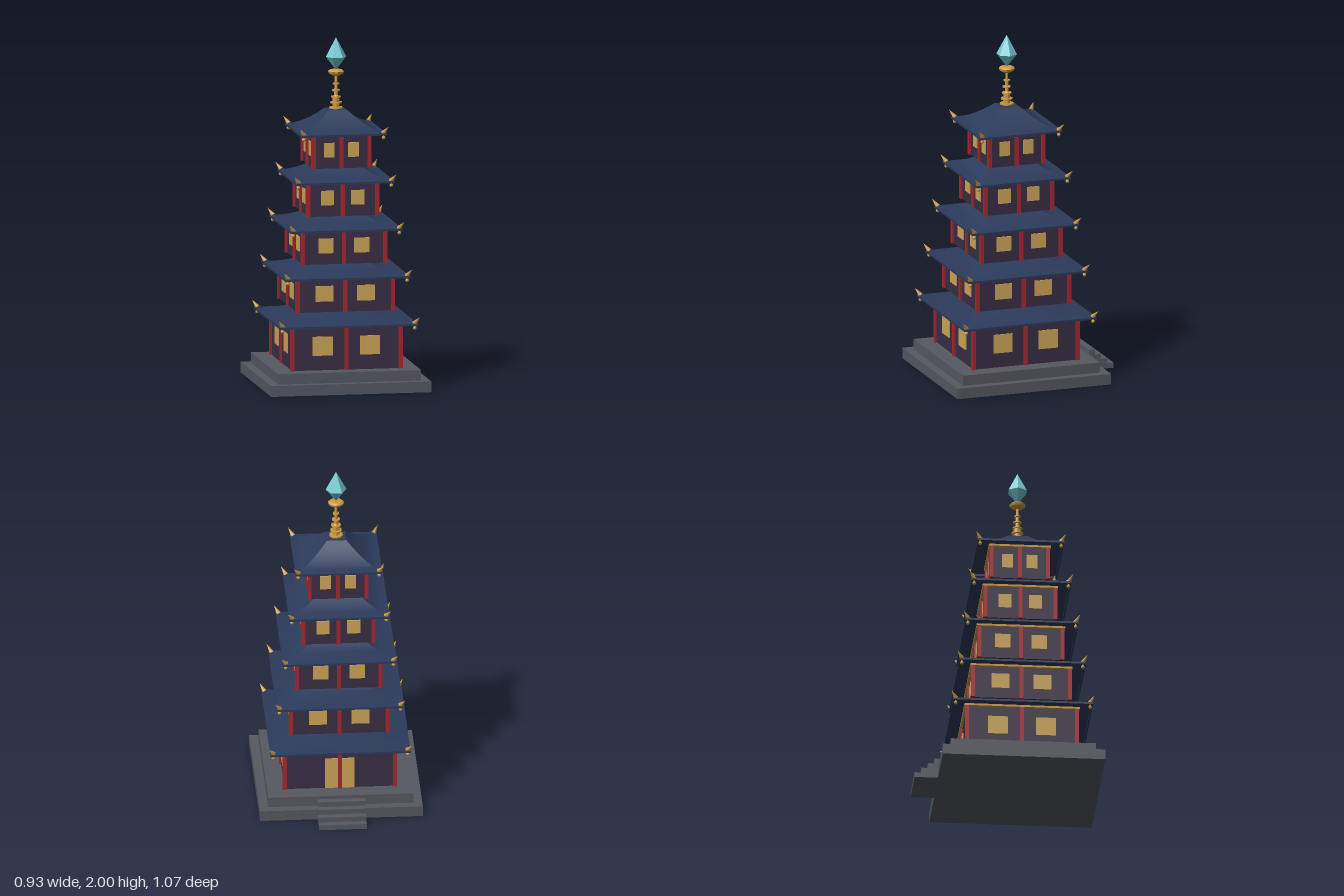
import * as THREE from 'three';
import { toCreasedNormals } from 'three/addons/utils/BufferGeometryUtils.js';

const mat = (name, color) => {
  const m = new THREE.MeshStandardMaterial({ color });
  m.name = name;
  return m;
};

export function createModel() {
  const stone = mat('stone', 0x565961);
  const wall = mat('plum wall', 0x3a2e46);
  const tile = mat('navy tile', 0x2c3b5c);
  const red = mat('red post', 0xa82630);
  const glow = mat('window glow', 0xd0a858);
  const gold = mat('gold', 0xcf9c40);
  const crystalMat = mat('crystal', 0x78ccd4);

  const model = new THREE.Group();
  model.name = 'pagoda';
  const tower = new THREE.Group();
  tower.name = 'tower';
  tower.position.z = 0.067;
  model.add(tower);

  const add = (parent, name, geo, material, x = 0, y = 0, z = 0) => {
    const m = new THREE.Mesh(geo, material);
    m.name = name;
    m.position.set(x, y, z);
    parent.add(m);
    return m;
  };
  // box given by its bottom and top heights
  const block = (parent, name, w, y0, y1, d, material, x = 0, z = 0) =>
    add(parent, name, new THREE.BoxGeometry(w, y1 - y0, d), material, x, (y0 + y1) / 2, z);
  const lathe = (pts, sides, phi = 0) => toCreasedNormals(
    new THREE.LatheGeometry(pts.map(([x, y]) => new THREE.Vector2(x, y)), sides, phi), 0.5);

  // stepped stone base
  block(tower, 'lowerBase', 0.934, 0, 0.062, 0.934, stone);
  block(tower, 'upperBase', 0.834, 0.062, 0.122, 0.834, stone);

  // back stairs
  for (let i = 0; i < 4; i++) {
    block(model, 'step', 0.274, 0, 0.03 * (i + 1), 0.038, stone, 0, -0.516 + 0.038 * i);
  }

  // square roof with a concave slope and a hollow eave
  const roofGeometry = (half, body) => {
    const pts = [[body, 0.012], [half - 0.01, 0.012], [half - 0.01, 0], [half, 0]];
    for (let k = 0; k <= 8; k++) {
      const t = k / 8;
      pts.push([half + (0.056 - half) * t, 0.012 + 0.112 * Math.pow(t, 1.65)]);
    }
    pts.push([0, 0.124]);
    return lathe(pts.map(([r, y]) => [r * Math.SQRT2, y]), 4, Math.PI / 4);
  };

  // gold horn with a hanging bell, one on each roof corner
  const up = new THREE.Vector3(0, 1, 0);
  const cornerOrnament = (parent, half, y, sx, sz) => {
    const g = new THREE.Group();
    g.name = 'cornerOrnament';
    parent.add(g);
    const a = new THREE.Vector3(sx * (half - 0.018), y + 0.012, sz * (half - 0.018));
    const b = new THREE.Vector3(sx * (half + 0.009), y + 0.052, sz * (half + 0.009));
    const dir = b.clone().sub(a);
    const horn = add(g, 'horn', new THREE.ConeGeometry(0.015, dir.length(), 6), gold);
    horn.position.copy(a).lerp(b, 0.5);
    horn.quaternion.setFromUnitVectors(up, dir.normalize());
    const c = half - 0.016;
    add(g, 'bellCord', new THREE.CylinderGeometry(0.004, 0.004, 0.02, 6), gold, sx * c, y, sz * c);
    add(g, 'bell', new THREE.SphereGeometry(0.011, 8, 6), gold, sx * c, y - 0.014, sz * c);
  };

  const windowHeights = [0.11, 0.09, 0.086, 0.084, 0.084];
  for (let i = 0; i < 5; i++) {
    const floor = new THREE.Group();
    floor.name = 'storey' + (i + 1);
    tower.add(floor);
    const body = 0.316 - 0.0383 * i;
    const eave = 0.376 + 0.271 * i;
    const bottom = i ? eave - 0.195 : 0.122;
    const half = 0.402 - 0.0383 * i;

    block(floor, 'walls', body * 2, bottom, eave + 0.012, body * 2, wall);
    block(floor, 'goldBand', body * 2 + 0.03, eave, eave + 0.0118, body * 2 + 0.03, gold);
    add(floor, 'roof', roofGeometry(half, body), tile, 0, eave);

    // posts at the corners and middle of each wall
    for (const x of [-1, 0, 1]) for (const z of [-1, 0, 1]) {
      if (x || z) block(floor, 'post', 0.023, bottom, eave + 0.006, 0.023, red, x * body, z * body);
    }

    // paired windows on every side, with a door at the back of the lowest storey
    const cy = i ? bottom + 0.107 : 0.262;
    for (let s = 0; s < 4; s++) {
      const side = new THREE.Group();
      side.name = 'openings';
      side.rotation.y = s * Math.PI / 2;
      floor.add(side);
      const h = windowHeights[i] / 2;
      for (const k of [-1, 1]) {
        if (i === 0 && s === 2) {
          block(side, 'doorLeaf', 0.074, 0.124, 0.312, 0.008, glow, k * 0.048, body + 0.003);
        } else {
          block(side, 'window', 0.116 - 0.0135 * i, cy - h, cy + h, 0.008, glow,
            k * (0.138 - 0.0167 * i), body + 0.002);
        }
      }
    }
    for (const x of [-1, 1]) for (const z of [-1, 1]) cornerOrnament(floor, half, eave, x, z);
  }

  // finial: mast, rings and bowl
  const finial = new THREE.Group();
  finial.name = 'finial';
  tower.add(finial);
  add(finial, 'mast', lathe([[0, 1.575], [0.021, 1.575], [0.021, 1.655], [0.012, 1.665],
    [0.009, 1.73], [0.007, 1.79], [0, 1.79]], 8), gold);
  [[1.592, 0.04], [1.622, 0.034], [1.655, 0.029], [1.692, 0.024], [1.73, 0.019]].forEach(([y, r]) =>
    add(finial, 'ring', new THREE.CylinderGeometry(r, r, 0.008, 10), gold, 0, y));
  add(finial, 'bowl', lathe([[0, 1.775], [0.02, 1.777], [0.042, 1.79], [0.047, 1.803],
    [0.036, 1.812], [0, 1.816]], 10), gold);

  // six-sided crystal
  const crystal = lathe([[0, 1.81], [0.06, 1.887], [0, 2]], 6, Math.PI / 6);
  add(finial, 'crystal', toCreasedNormals(crystal, 0.01), crystalMat);

  return model;
}
